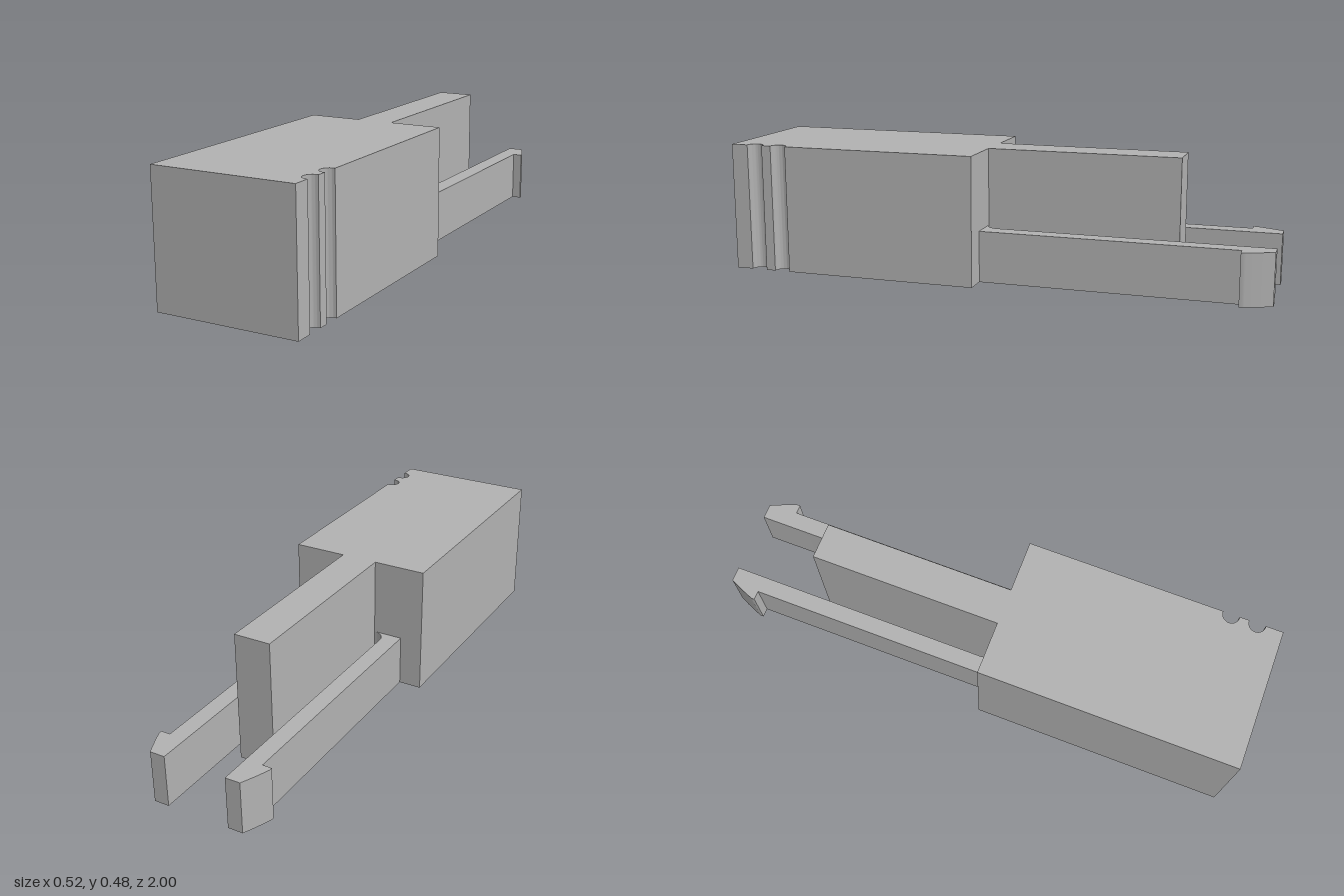
import * as THREE from 'three';
import { toCreasedNormals } from 'three/addons/utils/BufferGeometryUtils.js';

const HEIGHT = 0.477, ARM_HEIGHT = 0.19;
const HALF = 0.262, SHOULDER = 0.05, FRONT = 1, BACK = -1;

// Extrudes a plan outline (x, -z) upward from y = 0
function prism(name, shape, height, material) {
  const geo = new THREE.ExtrudeGeometry(shape, { depth: height, bevelEnabled: false, curveSegments: 16 });
  geo.rotateX(-Math.PI / 2);
  const mesh = new THREE.Mesh(toCreasedNormals(geo, 0.5), material);
  mesh.name = name;
  return mesh;
}

// Main block with two round grooves down its left side
function bodyShape() {
  const s = new THREE.Shape();
  s.moveTo(-HALF, -FRONT);
  s.lineTo(HALF, -FRONT);
  const r = 0.03, inset = 0.004, a = Math.acos(inset / r);
  for (const z of [0.906, 0.81]) {
    s.absarc(HALF - inset, -z, r, -a, a, true);
  }
  s.lineTo(HALF, -SHOULDER);
  s.lineTo(-HALF, -SHOULDER);
  s.closePath();
  return s;
}

// Spring arm with a barbed tip and a filleted inner root
function armShape(side) {
  const s = new THREE.Shape();
  const inner = 0.115, outer = 0.178, tongue = 0.068;
  s.moveTo(side * outer, -SHOULDER);
  s.lineTo(side * outer, 0.888);
  s.lineTo(side * 0.212, 0.888);
  s.lineTo(side * 0.212, 0.9);
  s.quadraticCurveTo(side * 0.194, 0.95, side * 0.17, -BACK);
  s.lineTo(side * inner, -BACK);
  s.lineTo(side * inner, 0);
  s.bezierCurveTo(side * inner, -0.028, side * 0.094, -SHOULDER, side * tongue, -SHOULDER);
  s.closePath();
  return s;
}

export function createModel() {
  const group = new THREE.Group();
  group.name = 'snapClip';
  const grey = new THREE.MeshStandardMaterial({ color: 0xb2b2b2 });
  grey.name = 'grey plastic';

  group.add(prism('body', bodyShape(), HEIGHT, grey));

  // Central tongue, full height
  const length = SHOULDER + 0.66;
  const tongue = new THREE.Mesh(new THREE.BoxGeometry(0.135, HEIGHT, length), grey);
  tongue.position.set(0, HEIGHT / 2, SHOULDER - length / 2);
  tongue.name = 'tongue';
  group.add(tongue);

  // Mirrored pair of arms
  group.add(prism('leftArm', armShape(1), ARM_HEIGHT, grey));
  group.add(prism('rightArm', armShape(-1), ARM_HEIGHT, grey));
  return group;
}
